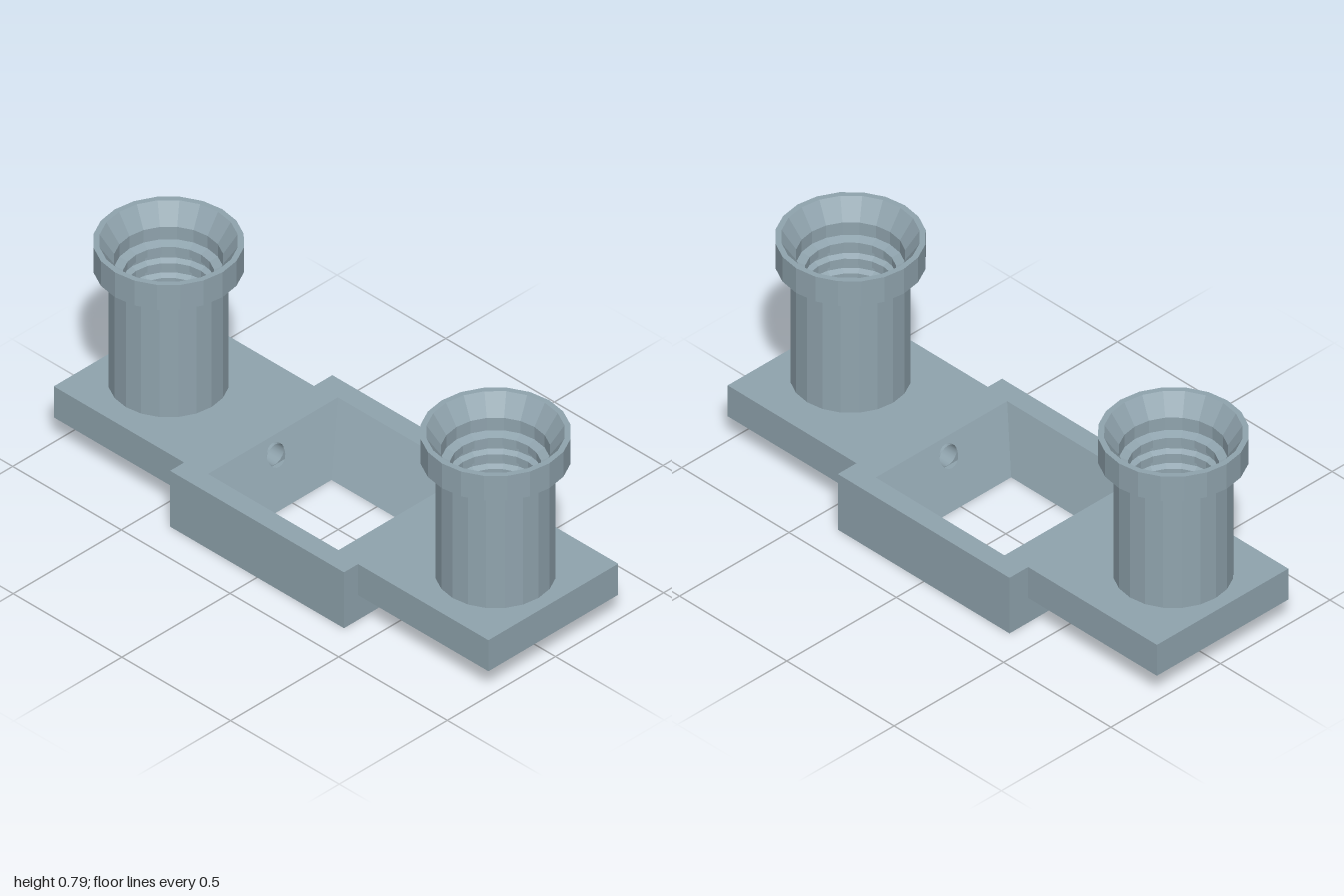
import * as THREE from 'three';

const blueGrey = new THREE.MeshStandardMaterial({ color: 0x90a4ae, side: THREE.DoubleSide });
blueGrey.name = 'blueGrey';

const TOP = 0.225, ARM_Y = 0.1;          // deck height, arm underside
const BX = 0.4, BZ = 0.375;              // centre block half sizes
const AZ0 = -0.29, AZ1 = 0.31;           // arm back and front
const DUCT_R = 0.04, DUCT_Y = 0.165, DUCT_Z = 0.01;
const TOWER_X = 0.752, TOWER_Z = 0.028, DUCT_X = 0.76;

const square = (x0, x1, y0, y1) => [[x0, y0], [x1, y0], [x1, y1], [x0, y1]];
const ring = (cx, cy, rx, ry = rx, n = 20) => Array.from({ length: n }, (_, i) => {
  const a = (i / n) * Math.PI * 2;
  return [cx + rx * Math.cos(a), cy + ry * Math.sin(a)];
});

function add(parent, name, geometry) {
  const mesh = new THREE.Mesh(geometry, blueGrey);
  mesh.name = name;
  parent.add(mesh);
  return mesh;
}

// Flat face with holes; place(u, v) puts it in space, outward sets which side is the front
function face(parent, name, outline, holes, place, outward) {
  const vec = ([u, v]) => new THREE.Vector2(u, v);
  const shape = new THREE.Shape(outline.map(vec));
  holes.forEach(h => shape.holes.push(new THREE.Path(h.map(vec))));
  const geo = new THREE.ShapeGeometry(shape);
  const pos = geo.attributes.position;
  for (let i = 0; i < pos.count; i++) pos.setXYZ(i, ...place(pos.getX(i), pos.getY(i)));
  geo.computeVertexNormals();
  const normal = new THREE.Vector3().fromBufferAttribute(geo.attributes.normal, 0);
  if (normal.dot(new THREE.Vector3(...outward)) < 0) {
    geo.index.array.reverse();
    geo.computeVertexNormals();
  }
  return add(parent, name, geo);
}

function buildBase() {
  const base = new THREE.Group();
  base.name = 'base';
  const flat = y => (x, z) => [x, y, z];

  // Deck with the pocket mouth and two duct holes
  const deck = [[-1, AZ0], [-BX, AZ0], [-BX, -BZ], [BX, -BZ], [BX, AZ0], [1, AZ0],
    [1, AZ1], [BX, AZ1], [BX, BZ], [-BX, BZ], [-BX, AZ1], [-1, AZ1]];
  face(base, 'deck', deck, [square(-0.3, 0.3, -0.3, 0.3),
    ring(-DUCT_X, DUCT_Z, DUCT_R), ring(DUCT_X, DUCT_Z, DUCT_R)], flat(TOP), [0, 1, 0]);
  face(base, 'blockUnderside', square(-BX, BX, -BZ, BZ),
    [square(-0.21, 0.21, -0.18, 0.23)], flat(0), [0, -1, 0]);

  // Block and pocket walls, front and back
  for (const s of [-1, 1]) {
    face(base, 'blockWall', square(-BX, BX, 0, TOP), [], (x, y) => [x, y, s * BZ], [0, 0, s]);
    const low = s > 0 ? 0.23 : -0.18;
    face(base, 'pocketWall', [[-0.21, 0], [0.21, 0], [0.3, TOP], [-0.3, TOP]], [],
      (x, y) => [x, y, low + (s * 0.3 - low) * y / TOP], [0, 0, -s]);
  }

  for (const s of [-1, 1]) {
    // Block end, notched where the arm joins
    face(base, 'blockEnd', [[-BZ, 0], [BZ, 0], [BZ, TOP], [AZ1, TOP], [AZ1, ARM_Y],
      [AZ0, ARM_Y], [AZ0, TOP], [-BZ, TOP]], [], (z, y) => [s * BX, y, z], [s, 0, 0]);
    // Sloped pocket wall with a duct opening
    face(base, 'pocketSide', [[-0.18, 0], [0.23, 0], [0.3, TOP], [-0.3, TOP]],
      [ring(DUCT_Z, DUCT_Y, DUCT_R)],
      (z, y) => [s * (0.21 + 0.09 * y / TOP), y, z], [-s, 0, 0]);
    // Arm
    face(base, 'armUnderside', square(BX, 1, AZ0, AZ1), [], (x, z) => [s * x, ARM_Y, z], [0, -1, 0]);
    face(base, 'armEnd', square(AZ0, AZ1, ARM_Y, TOP), [], (z, y) => [s, y, z], [s, 0, 0]);
    face(base, 'armFront', square(BX, 1, ARM_Y, TOP), [], (x, y) => [s * x, y, AZ1], [0, 0, 1]);
    face(base, 'armBack', square(BX, 1, ARM_Y, TOP), [], (x, y) => [s * x, y, AZ0], [0, 0, -1]);
    // Duct from the pocket to the tower floor
    const duct = new THREE.CylinderGeometry(DUCT_R, DUCT_R, 0.52, 20, 1, true);
    duct.rotateZ(Math.PI / 2);
    add(base, 'duct', duct).position.set(s * 0.54, DUCT_Y, DUCT_Z);
  }
  return base;
}

// Hollow flanged socket with a flared mouth and ridged bore
function buildTower() {
  const profile = [[0.198, TOP], [0.198, 0.693], [0.248, 0.693], [0.248, 0.793], [0.228, 0.793],
    [0.18, 0.72], [0.18, 0.67], [0.15, 0.66]];
  for (let y = 0.63; y > 0.35; y -= 0.06) {
    profile.push([0.15, y], [0.168, y - 0.01], [0.168, y - 0.025], [0.15, y - 0.035]);
  }
  profile.push([0.15, TOP]);
  const geo = new THREE.LatheGeometry(profile.map(p => new THREE.Vector2(...p)), 20).toNonIndexed();
  geo.computeVertexNormals();
  return geo;
}

export function createModel() {
  const model = new THREE.Group();
  model.name = 'twinSocketBracket';
  model.add(buildBase());
  const tower = buildTower();
  add(model, 'rightTower', tower).position.set(-TOWER_X, 0, TOWER_Z);
  add(model, 'leftTower', tower).position.set(TOWER_X, 0, TOWER_Z);
  return model;
}
